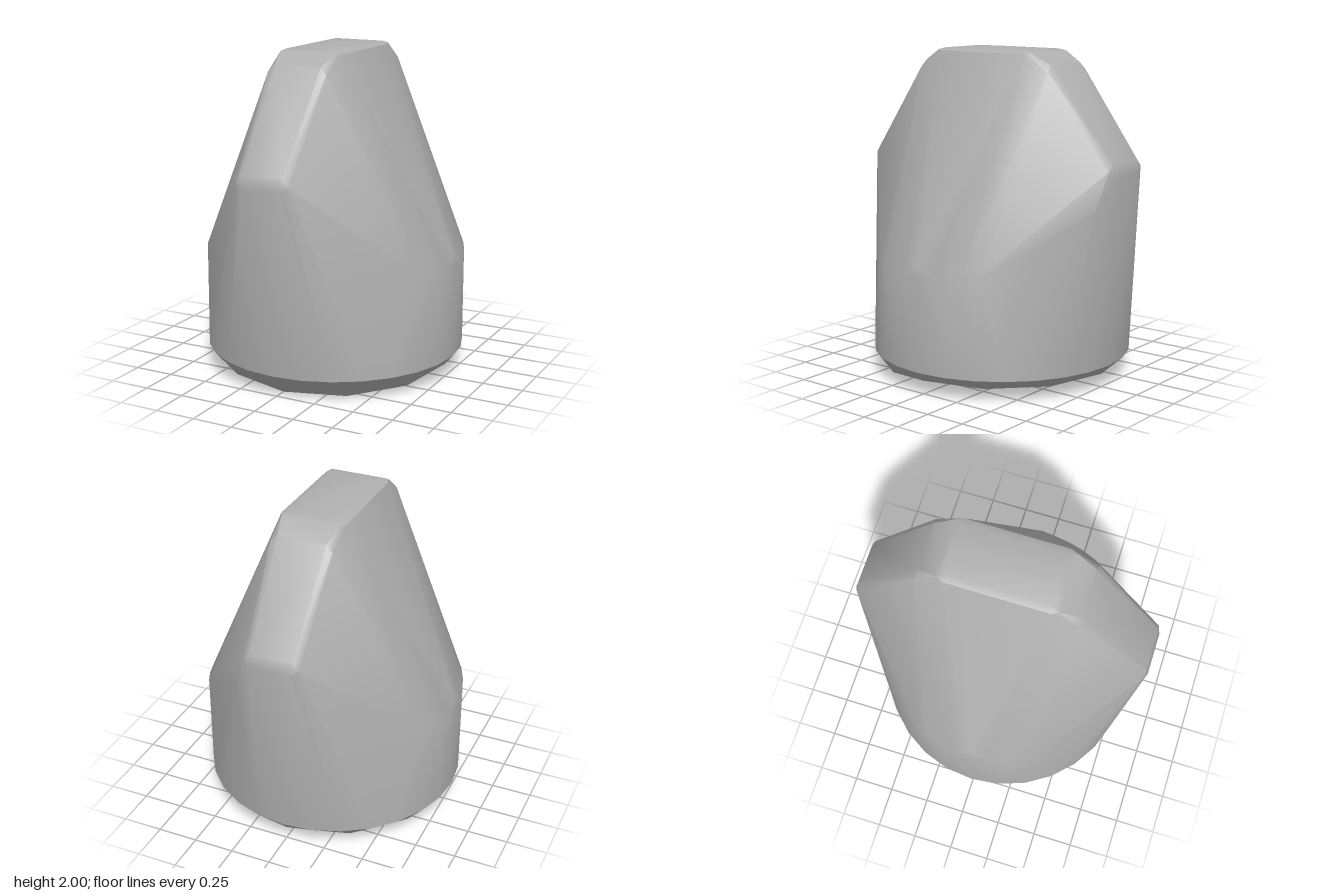
import * as THREE from 'three';
import { ConvexGeometry } from 'three/addons/geometries/ConvexGeometry.js';
import { toCreasedNormals } from 'three/addons/utils/BufferGeometryUtils.js';

export function createModel() {
  const group = new THREE.Group();
  const stone = new THREE.MeshStandardMaterial({ color: 0xb0b0b0 });
  stone.name = 'grey stone';

  const points = [];
  const add = (x, y, z) => points.push(new THREE.Vector3(x, y, z));
  const mirrored = (x, y, z) => { add(x, y, z); add(-x, y, z); };

  // Underside, dipping towards the front
  const baseSides = 12;
  for (let i = 0; i < baseSides; i++) {
    const a = (i / baseSides) * Math.PI * 2;
    const z = Math.cos(a);
    add(0.75 * Math.sin(a), 0.08 - 0.08 * Math.max(0, z), z > 0 ? 0.67 * z : 0.75 * z);
  }

  // Round foot
  const footSides = 28;
  for (let i = 0; i < footSides; i++) {
    const a = (i / footSides) * Math.PI * 2;
    add(0.8 * Math.sin(a), 0.14, 0.8 * Math.cos(a));
  }

  // Curved shoulders where the upright sides meet the slopes
  for (let i = -4; i <= 4; i++) {
    const a = (i / 4) * 0.5;
    mirrored(0.797 * Math.cos(a), 0.725 + 0.11 * (1 - Math.cos(a)) * 2, 0.797 * Math.sin(a));
  }
  mirrored(0.785, 0.77, 0);

  // Front and back ridges, with narrow bevels
  for (const s of [1, -1]) {
    const lift = s > 0 ? 0 : 0.03;
    mirrored(0.13, 1.27 + lift, 0.908 * s);
    mirrored(0.17, 1.3 + lift, 0.89 * s);
    mirrored(0.13, 1.34 + lift, 0.89 * s);
    mirrored(0.19, 1.87, 0.48 * s);
    mirrored(0.15, 1.91, 0.47 * s);
    mirrored(0.18, 1.975, 0.35 * s);
    mirrored(0.2, 1.97, 0.31 * s);
    mirrored(0.16, 1.987, 0.31 * s);
  }
  // Chipped back corner
  add(0.25, 1.1, -0.85);
  // Slight crown
  add(0, 2, 0);

  const body = new THREE.Mesh(toCreasedNormals(new ConvexGeometry(points), 0.55), stone);
  body.name = 'body';
  group.add(body);
  return group;
}
